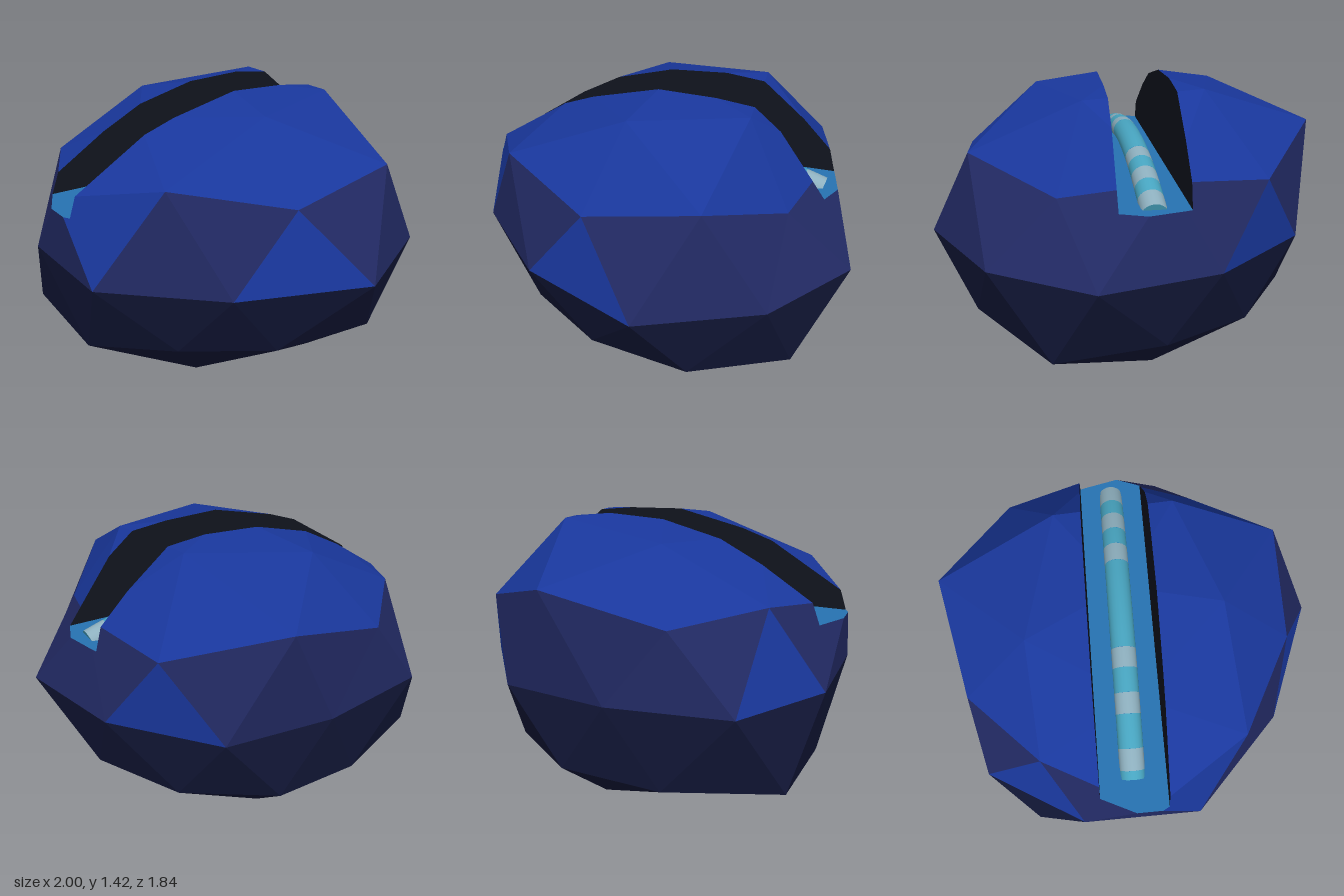
import * as THREE from 'three';
import { ConvexGeometry } from 'three/addons/geometries/ConvexGeometry.js';

const V = (x, y, z) => new THREE.Vector3(x, y, z);
const SLOT_HALF = 0.165, FLOOR = 0.95, EQUATOR = 0.65;
const along = V(0.853, 0, -0.522), across = V(0.522, 0, 0.853);

// Rings of the faceted ball, top to bottom: height on the unit ball, start
// angle, corner heights (the last one repeats), corner radii, small corner turns
const ring = (unitY, start, heights, radii, turns = []) => ({ unitY, start, heights, radii, turns });
const rings = [
  ring(1, 0, [1.44], [0]),
  ring(0.851, 0, [1.375, 1.36, 1.32, 1.34, 1.4], [0.55, 0.485, 0.5, 0.5, 0.513], [0, -5, 0, 0, 5]),
  ring(0.447, 0, [0.99, 1.03], [0.82, 0.845, 0.97, 0.86, 0.885], [0, -3, 0, -2, 2]),
  ring(0.526, 36, [1.13, 1.14, 1.085, 1.18, 1.08], [0.913, 0.86, 0.83, 0.92, 0.82], [-3.5, 1]),
  ring(0, 18, [EQUATOR], [1.03, 1.05, 0.92, 1, 0.985, 1, 0.845, 0.92, 0.918, 1.038],
    [-2, -3.6, -0.6, 2.5, 1.5, -1.4, 0, 0.6, 3, 2]),
  ring(-0.526, 0, [0.19, 0.27, 0.19, 0.22, 0.26], [0.91, 0.77, 0.86, 0.8, 0.78]),
  ring(-0.447, 36, [0.28, 0.29, 0.22, 0.27], [0.9, 0.78, 1, 0.82, 0.82]),
  ring(-0.851, 36, [0.01, 0, 0.01], [0.54, 0.48, 0.53, 0.5, 0.53], [-5]),
  ring(-1, 0, [0.01], [0]),
];

// Ball triangles: connect the unit directions, then move each corner to its place
function ballTriangles() {
  const dirs = [], spots = [];
  for (const { unitY, start, heights, radii, turns } of rings) {
    const unitR = Math.sqrt(1 - unitY * unitY);
    radii.forEach((r, k) => {
      const a = THREE.MathUtils.degToRad(start + k * 360 / radii.length);
      const b = a + THREE.MathUtils.degToRad(turns[k] ?? 0);
      const y = heights[Math.min(k, heights.length - 1)];
      dirs.push(V(unitR * Math.cos(a), unitY, unitR * Math.sin(a)));
      spots.push(V(r * Math.cos(b), y, r * Math.sin(b)));
    });
  }
  const pos = new ConvexGeometry(dirs).attributes.position;
  const corner = i => {
    const p = V(0, 0, 0).fromBufferAttribute(pos, i);
    let best = 0;
    dirs.forEach((d, j) => { if (d.distanceTo(p) < dirs[best].distanceTo(p)) best = j; });
    return spots[best];
  };
  const tris = [];
  for (let i = 0; i < pos.count; i += 3) tris.push([corner(i), corner(i + 1), corner(i + 2)]);
  return tris;
}

// Keep the part of a polygon where f >= 0
function clip(poly, f) {
  const out = [];
  poly.forEach((p, i) => {
    const q = poly[(i + 1) % poly.length], a = f(p), b = f(q);
    if (a >= 0) out.push(p);
    if ((a >= 0) !== (b >= 0)) out.push(p.clone().lerp(q, a / (a - b)));
  });
  return out;
}

function fan(list, poly) {
  for (let i = 1; i + 1 < poly.length; i++) list.push(poly[0], poly[i], poly[i + 1]);
}

function facetMesh(name, points, color, side = THREE.FrontSide) {
  const g = new THREE.BufferGeometry().setFromPoints(points);
  g.computeVertexNormals();
  const m = new THREE.Mesh(g, new THREE.MeshStandardMaterial({ color, flatShading: true, side }));
  m.name = name;
  return m;
}

// Arched rod: its centre line at distance s along the slot
const rodPoint = s => along.clone().multiplyScalar(s).setY(1.06 - 0.22 * s * s);

function rodPiece(name, s0, s1, material) {
  const pts = [];
  for (let i = 0; i <= 6; i++) pts.push(rodPoint(s0 + (s1 - s0) * i / 6));
  const m = new THREE.Mesh(new THREE.TubeGeometry(new THREE.CatmullRomCurve3(pts), 8, 0.062, 20), material);
  m.name = name;
  return m;
}

export function createModel() {
  const model = new THREE.Group();
  model.name = 'slottedBall';

  const d = p => p.dot(across);
  const near = e => Math.abs(e) < 1e-5;
  const blue = [], navy = [], dark = [], walls = [], floor = [];

  // Blue facets below the cap, by their middle
  const extraBlue = [V(0.32, 0.78, 0.84), V(0.29, 0.78, -0.82), V(-0.91, 0.79, 0), V(-0.56, 0.94, 0.72)];

  for (const tri of ballTriangles()) {
    const mid = tri[0].clone().add(tri[1]).add(tri[2]).divideScalar(3);
    const isCap = Math.min(...tri.map(p => p.y)) > 0.9;
    const isBlue = isCap || extraBlue.some(e => e.distanceTo(mid) < 0.12);
    const skin = isBlue ? blue : mid.y > EQUATOR ? navy : dark;

    // Skin on both sides of the slot and below its floor
    fan(skin, clip(tri, p => d(p) - SLOT_HALF));
    fan(skin, clip(tri, p => -d(p) - SLOT_HALF));
    const strip = clip(clip(tri, p => SLOT_HALF - d(p)), p => SLOT_HALF + d(p));
    fan(skin, clip(strip, p => FLOOR - p.y));

    // The removed piece outlines the slot walls and floor
    const cut = clip(strip, p => p.y - FLOOR);
    cut.forEach((p, i) => {
      const q = cut[(i + 1) % cut.length];
      for (const s of [SLOT_HALF, -SLOT_HALF]) {
        if (near(d(p) - s) && near(d(q) - s)) walls.push(p, q, across.clone().multiplyScalar(s).setY(FLOOR));
      }
      if (near(p.y - FLOOR)) floor.push(p);
    });
  }

  // Floor outline, ordered around the centre
  floor.sort((a, b) => Math.atan2(a.x, a.z) - Math.atan2(b.x, b.z));
  const floorTris = [];
  floor.forEach((p, i) => floorTris.push(V(0, FLOOR, 0), p, floor[(i + 1) % floor.length]));

  model.add(
    facetMesh('upperShell', blue, 0x19379c),
    facetMesh('middleShell', navy, 0x222a64),
    facetMesh('lowerShell', dark, 0x13183a),
    facetMesh('slotWalls', walls, 0x11151f, THREE.DoubleSide),
    facetMesh('slotFloor', floorTris, 0x2673b2, THREE.DoubleSide),
  );

  // Rod with pale bands
  const rod = new THREE.Group();
  rod.name = 'rod';
  const cyan = new THREE.MeshStandardMaterial({ color: 0x48a6c2 });
  const pale = new THREE.MeshStandardMaterial({ color: 0x8eb0bf });
  let s = -0.79;
  for (const c of [-0.7, -0.44, -0.22, 0.35, 0.55, 0.74]) {
    rod.add(rodPiece('rodSection', s, c - 0.05, cyan), rodPiece('rodBand', c - 0.05, c + 0.05, pale));
    s = c + 0.05;
  }
  for (const e of [-1, 1]) {
    const cap = new THREE.Mesh(new THREE.CircleGeometry(0.062, 20), cyan);
    cap.name = 'rodEnd';
    cap.position.copy(rodPoint(0.79 * e));
    cap.lookAt(rodPoint(0.8 * e));
    rod.add(cap);
  }
  model.add(rod);
  return model;
}
